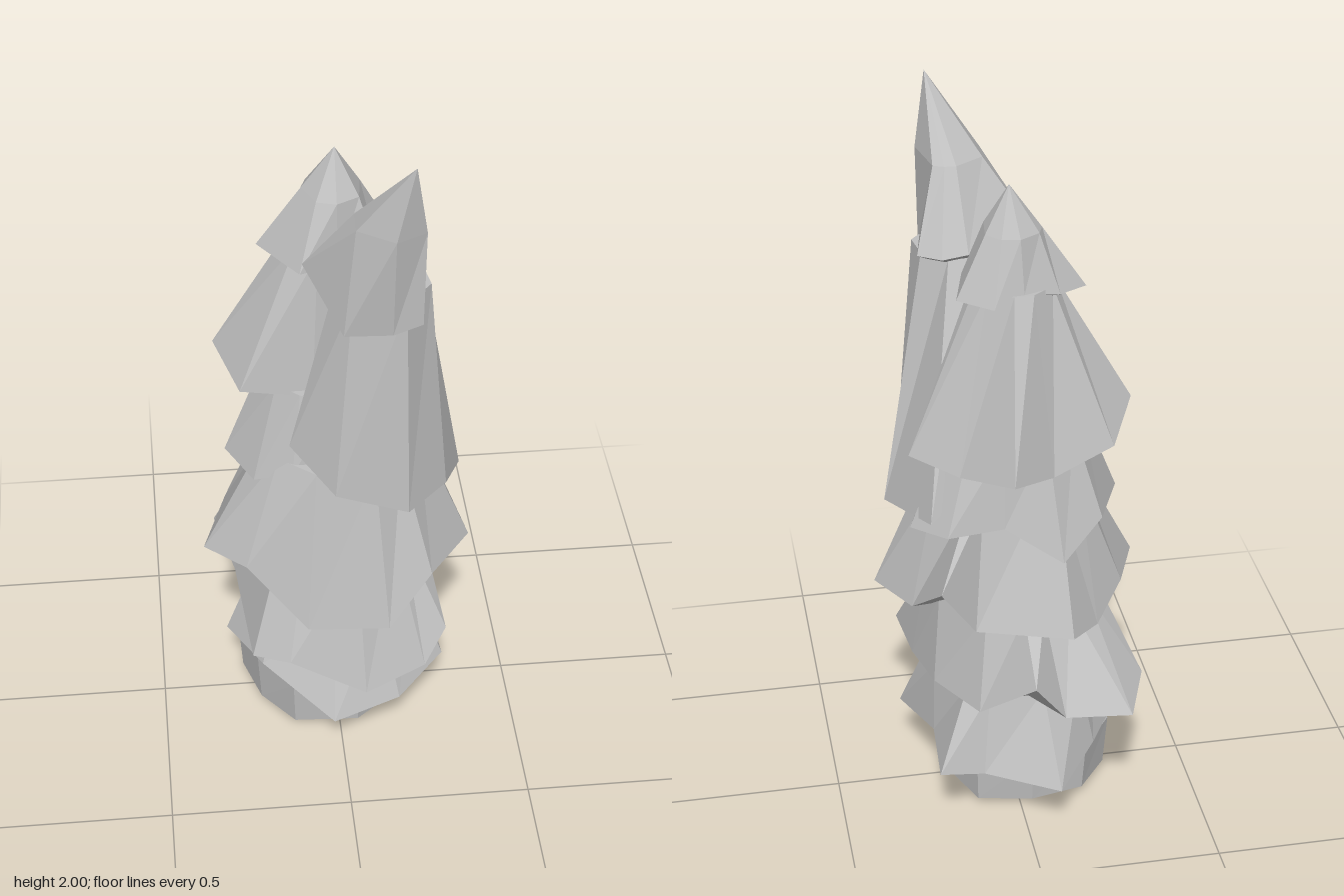
import * as THREE from 'three';

// Closed flat-shaded skin over rings (bottom to top), each ring running front -> +x -> back -> -x
function loft(rings, bottom, top) {
  const pos = [];
  const tri = (a, b, c) => pos.push(...a, ...b, ...c);
  const n = rings[0].length;
  for (let i = 0; i < n; i++) {
    const j = (i + 1) % n;
    tri(bottom, rings[0][j], rings[0][i]);
    for (let k = 0; k < rings.length - 1; k++) {
      const a = rings[k], b = rings[k + 1];
      tri(a[i], a[j], b[j]);
      tri(a[i], b[j], b[i]);
    }
    const last = rings[rings.length - 1];
    tri(last[i], last[j], top);
  }
  const geo = new THREE.BufferGeometry();
  geo.setAttribute('position', new THREE.Float32BufferAttribute(pos, 3));
  geo.computeVertexNormals();
  return geo;
}

// Ring of radius r round a centre, following the directions of the rim points
function ringToward(rim, [cx, cy, cz], r) {
  return rim.map(([x, , z]) => {
    const d = Math.hypot(x - cx, z - cz);
    return [cx + (x - cx) / d * r, cy, cz + (z - cz) / d * r];
  });
}

// Ragged skirt of branches: rim points, upper ring centre and radius, and peak above it
function skirt(rim, centre, r, peak = centre) {
  const n = rim.length;
  const mean = [0, 1, 2].map((k) => rim.reduce((s, p) => s + p[k], 0) / n);
  const under = rim.map(([x, y, z]) => [
    mean[0] + (x - mean[0]) * 0.65, y * 0.4 + mean[1] * 0.6 - 0.015, mean[2] + (z - mean[2]) * 0.65,
  ]);
  return loft([under, rim, ringToward(rim, centre, r)], mean, peak);
}

export function createModel() {
  const group = new THREE.Group();
  const grey = new THREE.MeshStandardMaterial({ color: 0xbfbfbf, flatShading: true });
  grey.name = 'plain grey';
  const add = (name, geo) => {
    const mesh = new THREE.Mesh(geo, grey);
    mesh.name = name;
    group.add(mesh);
  };

  // Uneven faceted foot, flaring upward, with a shallow pointed underside
  const sole = [
    [0.05, 0.2], [0.15, 0.12], [0.175, -0.04], [0.12, -0.17],
    [-0.03, -0.2], [-0.18, -0.17], [-0.265, -0.06], [-0.22, 0.08], [-0.13, 0.19],
  ];
  const footRing = (y, s) => sole.map(([x, z]) => [x * s, y, z * s * s]);
  add('foot', loft([footRing(0.025, 1), footRing(0.18, 1.04), footRing(0.28, 0.85)], [-0.03, 0, 0], [-0.03, 0.28, 0]));

  // Shared lower tiers
  add('lowestSkirt', skirt([
    [-0.03, 0.16, 0.34], [0.16, 0.17, 0.27], [0.3, 0.19, 0.12], [0.23, 0.21, -0.07], [0.245, 0.22, -0.295],
    [0.12, 0.2, -0.285], [-0.08, 0.175, -0.37], [-0.2, 0.22, -0.22], [-0.31, 0.215, -0.02], [-0.22, 0.25, 0.18],
  ], [0, 0.43, -0.02], 0.23));
  add('lowerSkirt', skirt([
    [0.06, 0.25, 0.325], [0.23, 0.29, 0.27], [0.29, 0.4, 0.24], [0.27, 0.4, 0.05], [0.23, 0.4, -0.1],
    [0.13, 0.4, -0.27], [0, 0.55, -0.405], [-0.09, 0.42, -0.365], [-0.27, 0.42, -0.385], [-0.33, 0.45, -0.23],
    [-0.28, 0.4, -0.06], [-0.25, 0.35, 0.25], [-0.15, 0.37, 0.31],
  ], [0, 0.67, 0], 0.23));
  add('middleSkirt', skirt([
    [0.12, 0.5, 0.335], [0.24, 0.64, 0.28], [0.365, 0.62, 0.1], [0.28, 0.62, -0.05], [0.23, 0.79, -0.27],
    [0.13, 0.63, -0.22], [-0.11, 0.67, -0.36], [-0.2, 0.63, -0.24], [-0.3, 0.66, -0.08], [-0.37, 0.64, 0.11],
    [-0.26, 0.66, 0.23], [-0.1, 0.5, 0.32],
  ], [0.01, 0.98, 0.05], 0.21));

  // Upright rear tree
  add('rearLowerSkirt', skirt([
    [0, 0.95, 0.2], [0.2, 0.95, 0.1], [0.285, 0.9, -0.09], [0.2, 0.92, -0.2], [0.05, 0.94, -0.21],
    [-0.1, 0.85, -0.265], [-0.22, 0.93, -0.18], [-0.3, 0.91, 0.02], [-0.23, 0.9, 0.15], [-0.13, 0.95, 0.2],
  ], [-0.01, 1.18, 0], 0.185));
  add('rearUpperSkirt', skirt([
    [-0.07, 1.16, 0.14], [0.18, 1.1, 0.1], [0.26, 1.1, 0], [0.285, 1.12, -0.09], [0.16, 1.08, -0.16],
    [0.04, 1.12, -0.31], [-0.08, 1.09, -0.22], [-0.25, 1.14, -0.17], [-0.32, 1.22, -0.05], [-0.26, 1.19, 0.14],
  ], [-0.01, 1.57, -0.01], 0.11));
  add('rearTip', skirt([
    [0, 1.54, 0.1], [0.11, 1.55, 0.09], [0.15, 1.55, -0.07], [0.06, 1.54, -0.125],
    [-0.02, 1.57, -0.11], [-0.12, 1.55, -0.08], [-0.2, 1.54, -0.02], [-0.1, 1.54, 0.13],
  ], [-0.005, 1.71, 0], 0.08, [0, 1.83, 0]));

  // Leaning front tree
  add('frontLongSkirt', skirt([
    [0.16, 0.94, 0.37], [0.27, 0.95, 0.27], [0.33, 0.88, 0.1], [0.24, 0.95, -0.17], [0.06, 1.05, -0.06],
    [-0.07, 1.1, 0.08], [-0.14, 1.08, 0.24], [-0.03, 1, 0.36],
  ], [0.1, 1.58, 0.23], 0.12));
  add('frontTip', skirt([
    [-0.01, 1.5, 0.35], [0.11, 1.51, 0.37], [0.185, 1.53, 0.36], [0.22, 1.59, 0.13],
    [0.16, 1.59, 0.09], [0.09, 1.6, 0.09], [-0.1, 1.62, 0.2],
  ], [0.11, 1.8, 0.305], 0.097, [0.155, 2, 0.395]));

  return group;
}
